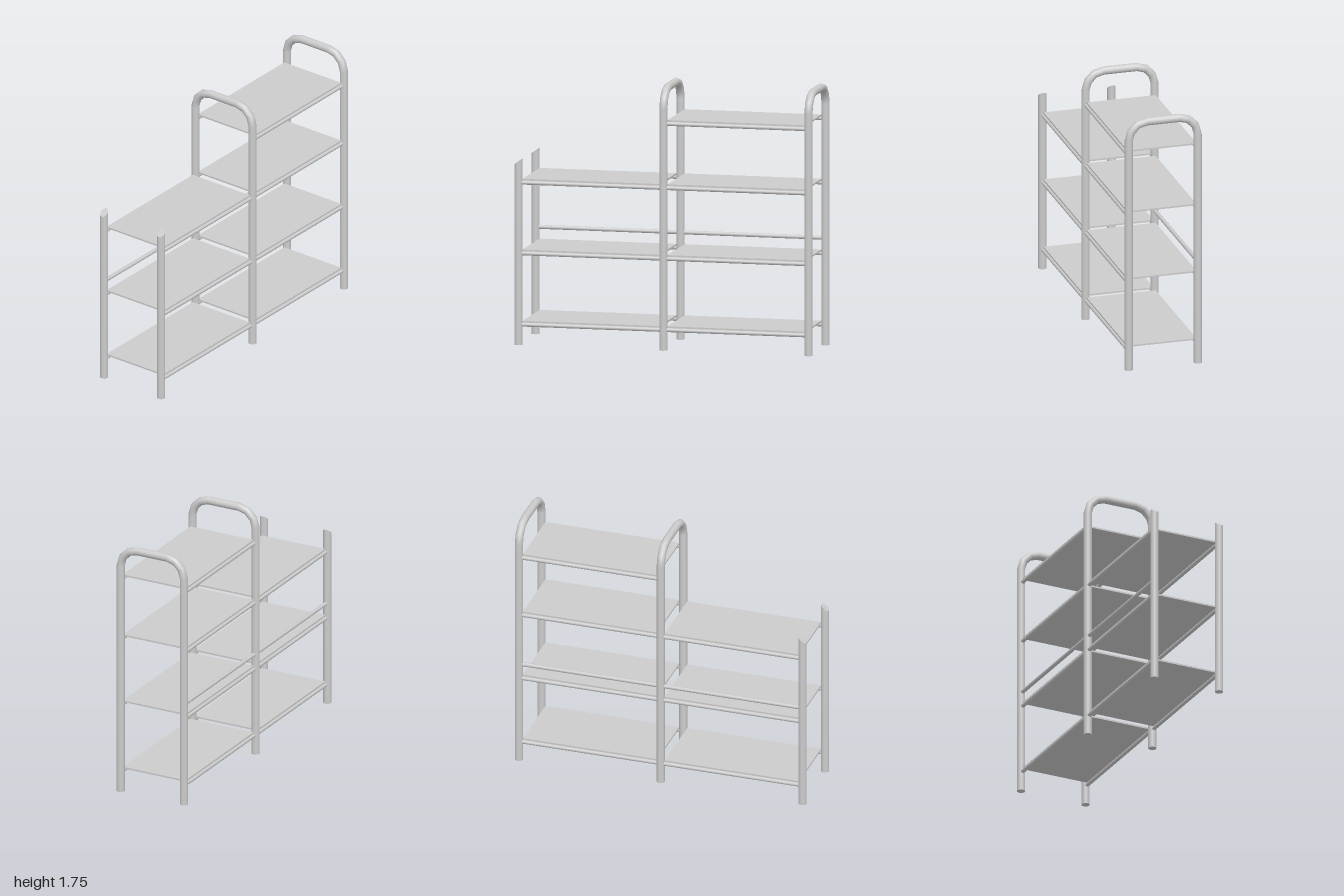
import * as THREE from 'three';

const GREY = new THREE.MeshStandardMaterial({ color: 0xcccccc });
const POST_X = 0.235, POST_Z = 0.973, POST_R = 0.027;
const RAIL_R = 0.0135, SHELF_T = 0.011;
const SIDES = 16;

function addMesh(parent, name, geometry, x = 0, y = 0, z = 0) {
  const mesh = new THREE.Mesh(geometry, GREY);
  mesh.name = name;
  mesh.position.set(x, y, z);
  parent.add(mesh);
  return mesh;
}

// Upside-down U: two legs joined by bends of three straight facets each
class HoopCurve extends THREE.Curve {
  constructor(top, bend) {
    super();
    this.stations = [{ p: new THREE.Vector3(-POST_X, 0, 0), t: new THREE.Vector3(0, 1, 0) }];
    for (const side of [-1, 1]) {
      for (let i = 0; i <= 3; i++) {
        const a = (side < 0 ? Math.PI - i * Math.PI / 6 : Math.PI / 2 - i * Math.PI / 6);
        this.stations.push({
          p: new THREE.Vector3(side * (POST_X - bend) + bend * Math.cos(a), top - bend + bend * Math.sin(a), 0),
          t: new THREE.Vector3(Math.sin(a), -Math.cos(a), 0),
        });
      }
    }
    this.stations.push({ p: new THREE.Vector3(POST_X, 0, 0), t: new THREE.Vector3(0, -1, 0) });
  }
  at(u) { return this.stations[Math.round(u * (this.stations.length - 1))]; }
  getPointAt(u, target = new THREE.Vector3()) { return target.copy(this.at(u).p); }
  getTangentAt(u, target = new THREE.Vector3()) { return target.copy(this.at(u).t); }
}

function addHoop(parent, name, z) {
  const hoop = new THREE.Group();
  hoop.name = name;
  hoop.position.z = z;
  const curve = new HoopCurve(1.718, 0.125);
  addMesh(hoop, 'hoopTube', new THREE.TubeGeometry(curve, curve.stations.length - 1, POST_R, SIDES));
  for (const s of [-1, 1]) {
    addMesh(hoop, 'footCap', new THREE.CircleGeometry(POST_R, SIDES), s * POST_X).rotation.x = Math.PI / 2;
  }
  parent.add(hoop);
}

// Short post whose top is cut on a slant, lower towards the front
function slantedPost() {
  const height = 1.21, slope = 0.74;
  const g = new THREE.CylinderGeometry(POST_R, POST_R, height, SIDES);
  g.translate(0, height / 2, 0);
  const p = g.attributes.position, n = g.attributes.normal;
  const cut = new THREE.Vector3(0, 1, slope).normalize();
  for (let i = 0; i < p.count; i++) {
    if (p.getY(i) > height / 2) p.setY(i, height - slope * p.getZ(i));
    if (n.getY(i) > 0.5) n.setXYZ(i, cut.x, cut.y, cut.z);
  }
  return g;
}

export function createModel() {
  const model = new THREE.Group();
  model.name = 'shelfRack';

  // Uprights
  addHoop(model, 'middleHoop', 0);
  addHoop(model, 'backHoop', -POST_Z);
  for (const s of [-1, 1]) {
    addMesh(model, s < 0 ? 'frontPostRight' : 'frontPostLeft', slantedPost(), s * POST_X, 0, POST_Z);
  }

  // Rails run between post centres, shelf boards between post faces
  const railGeometry = new THREE.CylinderGeometry(RAIL_R, RAIL_R, POST_Z, 12).rotateX(Math.PI / 2);
  const boardGeometry = new THREE.BoxGeometry(POST_X * 2, SHELF_T, POST_Z - POST_R * 2);
  const bays = [
    { name: 'front', z: POST_Z / 2, tops: [0.158, 0.628, 1.095] },
    { name: 'back', z: -POST_Z / 2, tops: [0.158, 0.628, 1.095, 1.519] },
  ];
  for (const { name, z, tops } of bays) {
    for (const top of tops) {
      const shelf = new THREE.Group();
      shelf.name = name + 'Shelf';
      addMesh(shelf, 'board', boardGeometry, 0, top - SHELF_T / 2, z);
      for (const s of [-1, 1]) {
        addMesh(shelf, 'rail', railGeometry, s * POST_X, top - SHELF_T - RAIL_R, z);
      }
      model.add(shelf);
    }
    // Extra guard rail on one side only
    addMesh(model, name + 'GuardRail', railGeometry, -POST_X, 0.706, z);
  }
  return model;
}
